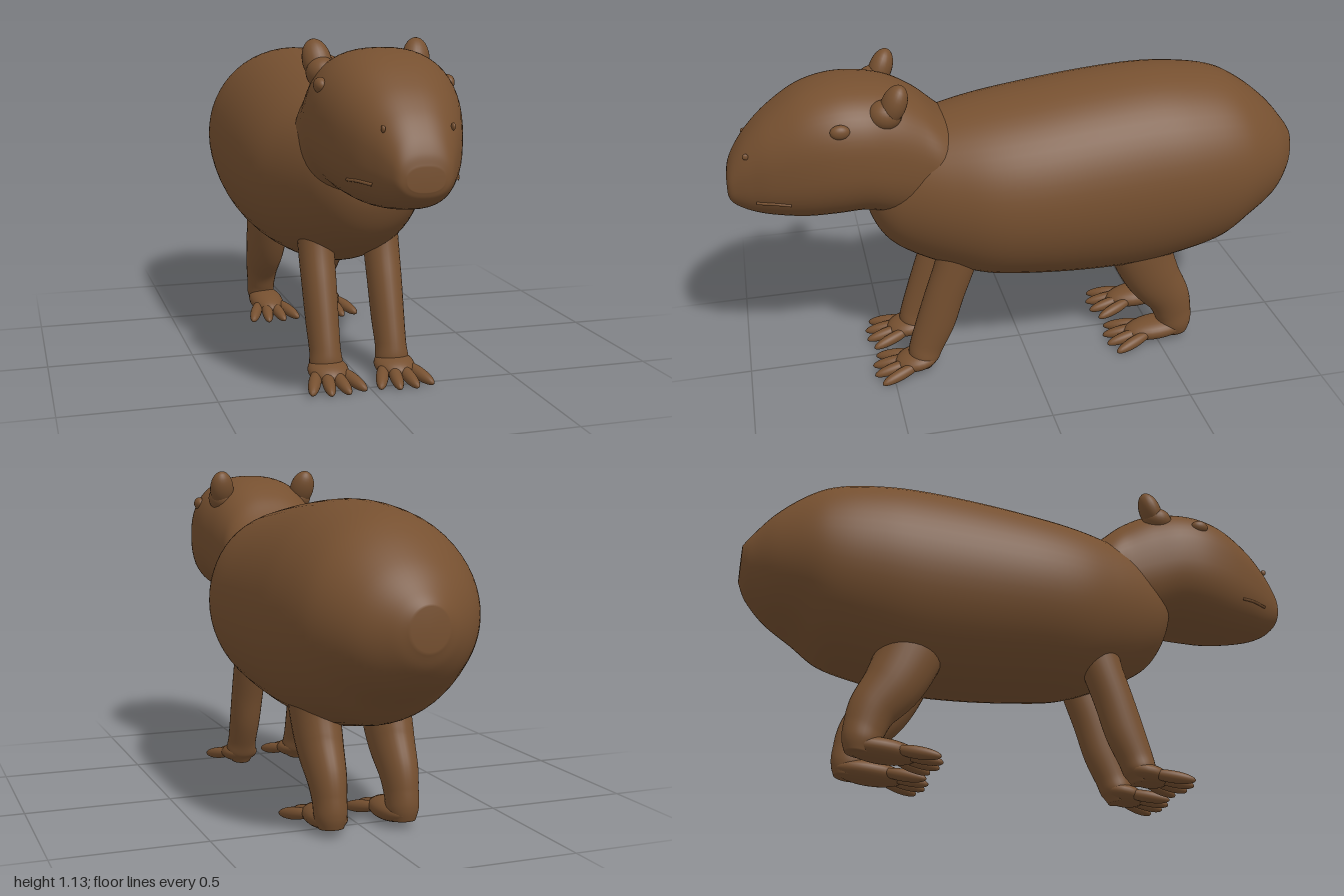
import * as THREE from 'three';

const brown = new THREE.MeshStandardMaterial({ color: 0x765030 });
brown.name = 'brown fur';

// Smooth closed skin over oval sections [z, y, halfWidth, halfHeight].
// With follow = true the sections turn to face along the path.
function loft(sections, { power = 2, follow = false, rings = 48, sides = 40 } = {}) {
  const path = new THREE.CatmullRomCurve3(sections.map(s => new THREE.Vector3(0, s[1], s[0])), false, 'catmullrom', 0.5);
  const size = new THREE.CatmullRomCurve3(sections.map(s => new THREE.Vector3(s[2], s[3], 0)), false, 'catmullrom', 0.5);
  const side = new THREE.Vector3(1, 0, 0);
  const pos = [], index = [];
  const bend = v => Math.sign(v) * Math.abs(v) ** (2 / power);
  for (let i = 0; i <= rings; i++) {
    const t = i / rings, c = path.getPoint(t), r = size.getPoint(t);
    const along = follow ? path.getTangent(t) : new THREE.Vector3(0, 0, 1);
    const up = along.cross(side).normalize();
    for (let j = 0; j < sides; j++) {
      const a = j / sides * Math.PI * 2;
      const p = c.clone().addScaledVector(side, bend(Math.cos(a)) * r.x).addScaledVector(up, bend(Math.sin(a)) * r.y);
      pos.push(p.x, p.y, p.z);
      if (i < rings) {
        const k = (j + 1) % sides, A = i * sides, B = A + sides;
        index.push(A + j, A + k, B + j, A + k, B + k, B + j);
      }
    }
  }
  // end caps
  const first = path.getPoint(0), last = path.getPoint(1), n = pos.length / 3, L = rings * sides;
  pos.push(first.x, first.y, first.z, last.x, last.y, last.z);
  for (let j = 0; j < sides; j++) {
    const k = (j + 1) % sides;
    index.push(n, k, j, n + 1, L + j, L + k);
  }
  const g = new THREE.BufferGeometry();
  g.setAttribute('position', new THREE.Float32BufferAttribute(pos, 3));
  g.setIndex(index);
  g.computeVertexNormals();
  return g;
}

// [z, bottom, top, halfWidth] -> [z, y, halfWidth, halfHeight]
const profile = rows => rows.map(([z, b, t, w]) => [z, (b + t) / 2, w, (t - b) / 2]);

function add(parent, name, geometry, x = 0, y = 0, z = 0) {
  const m = new THREE.Mesh(geometry, brown);
  m.name = name;
  m.position.set(x, y, z);
  parent.add(m);
  return m;
}

function blob(parent, name, [x, y, z], [rx, ry, rz], [ax, ay, az] = [0, 0, 0]) {
  const m = add(parent, name, new THREE.SphereGeometry(1, 24, 16), x, y, z);
  m.scale.set(rx, ry, rz);
  m.rotation.set(ax, ay, az, 'YXZ');
  return m;
}

// Four splayed toes reaching forward to tipZ
function addFoot(parent, name, x, tipZ, s) {
  const foot = new THREE.Group();
  foot.name = name;
  parent.add(foot);
  for (let k = -1.5; k <= 1.5; k++) {
    const inner = Math.abs(k) < 1;
    blob(foot, 'toe', [s * (x + k * 0.042), 0.034, tipZ - (inner ? 0.078 : 0.093)],
      [0.021, 0.021, 0.08], [0.2, s * k * 0.24, 0]);
  }
}

export function createModel() {
  const model = new THREE.Group();
  model.name = 'rodent';

  // Barrel body with a blunt rump
  add(model, 'body', loft(profile([
    [-1.0, 0.65, 0.78, 0.06], [-0.97, 0.59, 0.82, 0.115], [-0.9, 0.52, 0.9, 0.2], [-0.8, 0.455, 0.98, 0.268],
    [-0.7, 0.385, 1.03, 0.302], [-0.55, 0.345, 1.055, 0.322], [-0.4, 0.32, 1.06, 0.328], [-0.2, 0.32, 1.045, 0.33],
    [0, 0.335, 1.02, 0.325], [0.15, 0.355, 0.998, 0.305], [0.28, 0.4, 0.972, 0.262], [0.4, 0.455, 0.94, 0.21],
    [0.48, 0.515, 0.89, 0.165], [0.53, 0.6, 0.83, 0.11], [0.55, 0.69, 0.77, 0.03],
  ]), { rings: 84, sides: 56 }));

  // Head and neck with a squarish muzzle
  const head = new THREE.Group();
  head.name = 'head';
  model.add(head);
  add(head, 'skull', loft(profile([
    [0.18, 0.66, 0.9, 0.14], [0.28, 0.62, 0.975, 0.195], [0.36, 0.61, 1.045, 0.2], [0.45, 0.63, 1.095, 0.212],
    [0.55, 0.66, 1.115, 0.226], [0.65, 0.658, 1.115, 0.225], [0.75, 0.655, 1.088, 0.204], [0.85, 0.665, 1.025, 0.166],
    [0.92, 0.68, 0.96, 0.128], [0.965, 0.7, 0.9, 0.1], [0.99, 0.72, 0.85, 0.08], [1.0, 0.74, 0.81, 0.055],
  ]), { power: 2.4, rings: 72, sides: 56 }));

  for (const s of [1, -1]) {
    const side = s > 0 ? 'left' : 'right';

    // Face details
    blob(head, side + 'Ear', [s * 0.163, 1.07, 0.452], [0.046, 0.072, 0.04], [-0.35, s * 0.3, -s * 0.25]);
    blob(head, side + 'EarBase', [s * 0.155, 1.035, 0.48], [0.05, 0.05, 0.055]);
    blob(head, side + 'Eye', [s * 0.202, 1.01, 0.63], [0.02, 0.024, 0.032]);
    blob(head, side + 'Nostril', [s * 0.104, 0.912, 0.93], [0.006, 0.011, 0.01]);
    const lip = new THREE.CatmullRomCurve3([[0.169, 0.752, 0.8], [0.153, 0.755, 0.85], [0.126, 0.752, 0.91]]
      .map(([x, y, z]) => new THREE.Vector3(s * x, y, z)));
    add(head, side + 'Lip', new THREE.TubeGeometry(lip, 12, 0.005, 8));

    // Front leg, leaning forward to the wrist
    add(model, side + 'FrontLeg', loft([
      [0.22, 0.56, 0.06, 0.08], [0.262, 0.42, 0.06, 0.072], [0.3, 0.31, 0.058, 0.07], [0.335, 0.2, 0.055, 0.07],
      [0.37, 0.11, 0.052, 0.062], [0.385, 0.06, 0.055, 0.055], [0.39, 0.02, 0.035, 0.035],
    ], { follow: true, sides: 28 }), s * 0.115);
    blob(model, side + 'FrontPaw', [s * 0.115, 0.05, 0.41], [0.068, 0.036, 0.08], [0.15, 0, 0]);
    addFoot(model, side + 'FrontToes', 0.115, 0.568, s);

    // Hind leg, thigh sweeping back to the heel
    add(model, side + 'HindLeg', loft([
      [-0.4, 0.5, 0.08, 0.13], [-0.43, 0.38, 0.078, 0.112], [-0.475, 0.28, 0.073, 0.1], [-0.535, 0.19, 0.062, 0.082],
      [-0.56, 0.12, 0.054, 0.07], [-0.57, 0.07, 0.052, 0.062], [-0.575, 0.03, 0.04, 0.045],
    ], { follow: true, sides: 28 }), s * 0.125);
    blob(model, side + 'HindPaw', [s * 0.118, 0.05, -0.5], [0.064, 0.04, 0.125], [0.08, 0, 0]);
    addFoot(model, side + 'HindToes', 0.118, -0.302, s);
  }
  return model;
}
